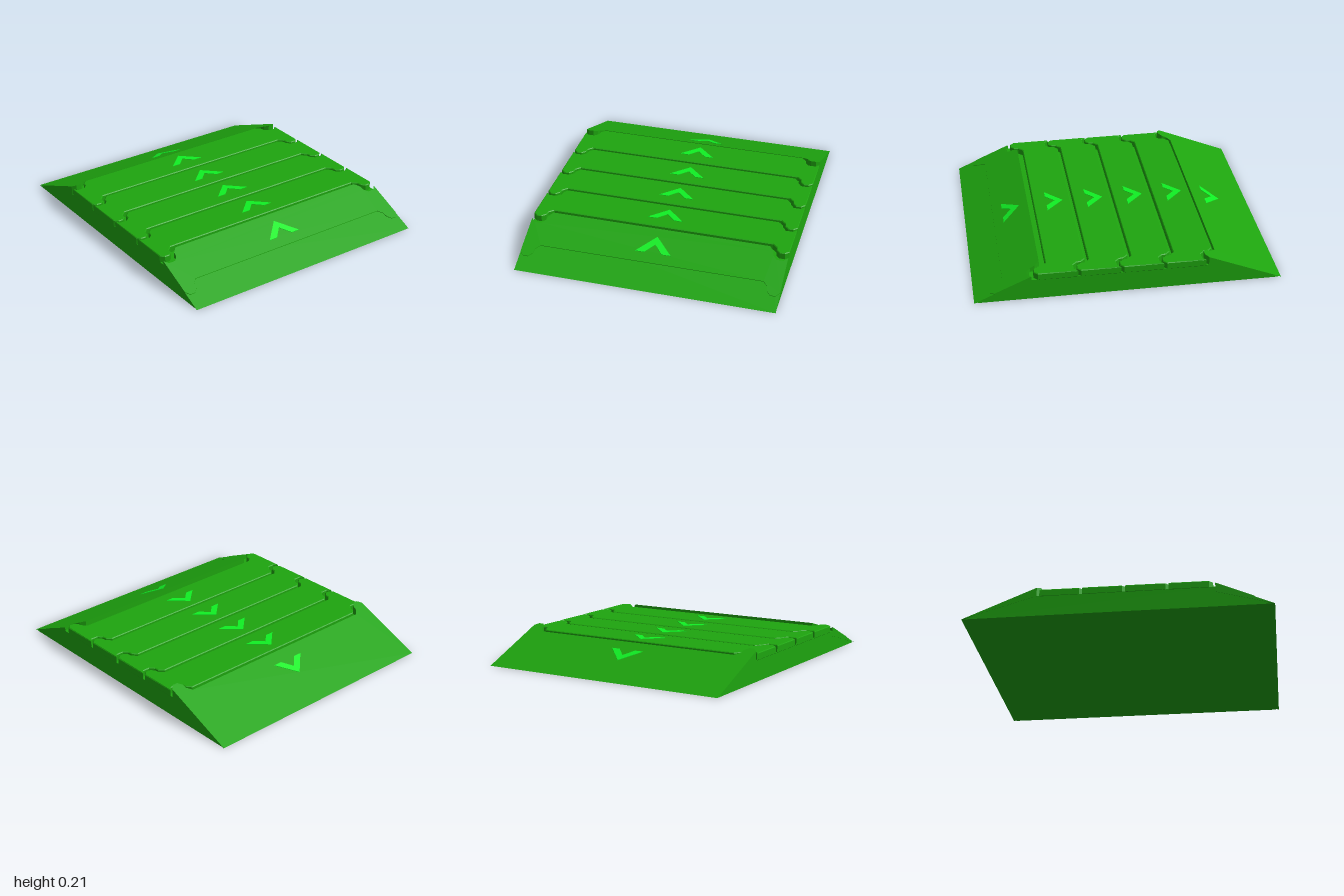
import * as THREE from 'three';

const W = 0.87;
const body = new THREE.MeshStandardMaterial({ color: 0x1ea50f });
const bright = new THREE.MeshStandardMaterial({ color: 0x10f024 });

// Heights of the walking surface along z
const TOP = 0.185;
const flat = () => TOP;
const backSlope = z => 0.412 * (z + 1);
const frontSlope = z => 0.445 * (1 - z);

// Cross-wise edge line whose two ends step forward into rounded tabs
function tabEdge(z, dx = 0) {
  const half = [[0.75 + dx, 0], [0.78 + dx, 0.03], [0.785 + dx, 0.06], [0.81 + dx, 0.085], [0.845, 0.085], [W, 0.06]];
  const right = half.map(([x, d]) => [x, z + d]);
  const left = right.map(([x, d]) => [-x, d]).reverse();
  return [...left, ...right];
}
const straightEdge = z => [[-W, z], [W, z]];

// Plate with an outline in x/z whose top follows a height rule
function plate(name, outline, thickness, height, material = body, bevel = 0) {
  const shape = new THREE.Shape(outline.map(([x, z]) => new THREE.Vector2(x, z)));
  const geo = new THREE.ExtrudeGeometry(shape, {
    depth: thickness - 2 * bevel, bevelEnabled: bevel > 0, bevelSegments: 1,
    bevelSize: bevel, bevelThickness: bevel, bevelOffset: -bevel,
  });
  geo.rotateX(Math.PI / 2);
  geo.translate(0, -bevel, 0);
  const p = geo.attributes.position;
  for (let i = 0; i < p.count; i++) {
    p.setY(i, Math.max(0, p.getY(i) + height(p.getZ(i))));
  }
  geo.computeVertexNormals();
  const mesh = new THREE.Mesh(geo, material);
  mesh.name = name;
  return mesh;
}

const between = (back, front) => [...back, ...[...front].reverse()];

// Arrow mark lying on the surface
function chevron(z, height) {
  const pts = [[0, 0], [0.12, 0.115], [0.06, 0.115], [0, 0.055], [-0.06, 0.115], [-0.12, 0.115]];
  return plate('chevron', pts.map(([x, d]) => [x, z + d]), 0.006, q => height(q) + 0.003, bright);
}

export function createModel() {
  const model = new THREE.Group();
  model.name = 'rampPad';

  // Solid core below the plates
  const side = new THREE.Shape([[-0.98, 0], [-0.61, 0.14], [0.64, 0.14], [0.98, 0]]
    .map(([z, y]) => new THREE.Vector2(-z, y)));
  const coreGeo = new THREE.ExtrudeGeometry(side, { depth: 2 * W - 0.004, bevelEnabled: false });
  coreGeo.translate(0, 0, -W + 0.002);
  coreGeo.rotateY(Math.PI / 2);
  const core = new THREE.Mesh(coreGeo, body);
  core.name = 'core';
  model.add(core);

  // Back ramp, its tabs rising above the deck
  model.add(plate('backRamp', between(straightEdge(-1), tabEdge(-0.575)), 0.06, backSlope));
  model.add(chevron(-0.775, backSlope));

  // Four interlocking deck slabs
  for (let i = 0; i < 4; i++) {
    const z = -0.558 + i * 0.277;
    model.add(plate('deckSlab', between(tabEdge(z, -0.012), tabEdge(z + 0.257)), 0.05, flat, body, 0.005));
    model.add(chevron(z + 0.055, flat));
  }

  // Front ramp with a slightly raised slab
  const raised = z => frontSlope(z) + 0.004;
  model.add(plate('frontRamp', between(tabEdge(0.57, -0.012), straightEdge(1)), 0.06, frontSlope));
  model.add(plate('frontSlab', between(tabEdge(0.572, -0.012), tabEdge(0.81)), 0.012, raised));
  model.add(chevron(0.63, raised));

  return model;
}
